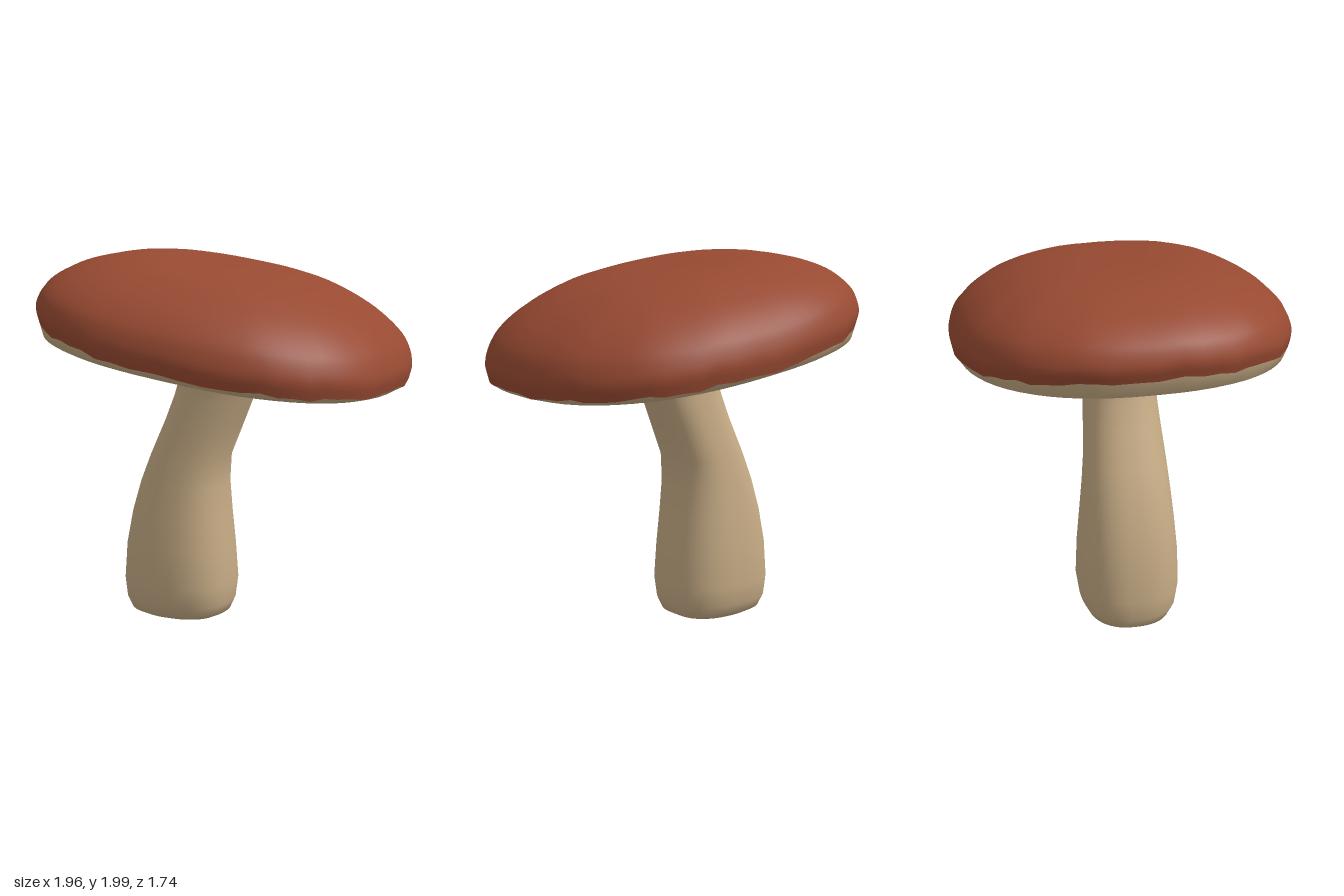
import * as THREE from 'three';

const SEG = 64;

// Smooth skin through rings listed from bottom to top; pointAt(row, angle) gives each vertex
function loft(rows, pointAt) {
  const pos = [], index = [];
  rows.forEach((row, i) => {
    for (let j = 0; j < SEG; j++) {
      pos.push(...pointAt(row, (j / SEG) * Math.PI * 2));
      if (i === rows.length - 1) continue;
      const a = i * SEG + j, b = i * SEG + (j + 1) % SEG;
      index.push(a, a + SEG, b, b, a + SEG, b + SEG);
    }
  });
  const g = new THREE.BufferGeometry();
  g.setAttribute('position', new THREE.Float32BufferAttribute(pos, 3));
  g.setIndex(index);
  g.computeVertexNormals();
  return g;
}

// Rounded-square outline
function outline(t, n) {
  const f = v => Math.sign(v) * Math.abs(v) ** (2 / n);
  return [f(Math.cos(t)), f(Math.sin(t))];
}

// Profile of [scale, height] points, smoothed
function profile(points, count) {
  return new THREE.CatmullRomCurve3(points.map(p => new THREE.Vector3(p[0], p[1], 0))).getPoints(count);
}

const tilt = x => 1.45 - 0.14 * x;

// Height of the ragged colour border above the tilted base plane
function border(t) {
  const x = Math.cos(t);
  return 0.035 + 0.06 * Math.max(0, -x) + 0.006 * Math.sin(t * 13) + 0.005 * Math.sin(t * 29 + 1);
}

function capPoint(s, h, t) {
  const [u, v] = outline(t, 2.4);
  const x = 0.98 * s * u;
  return [x, tilt(x) + h, 0.87 * s * v];
}

export function createModel() {
  const model = new THREE.Group();
  const red = new THREE.MeshStandardMaterial({ color: 0x984a32 });
  red.name = 'cap red';
  const beige = new THREE.MeshStandardMaterial({ color: 0xc6ab85 });
  beige.name = 'stem beige';
  const add = (name, geometry, material) => {
    const mesh = new THREE.Mesh(geometry, material);
    mesh.name = name;
    model.add(mesh);
  };

  // Tilted dome of the cap
  const dome = profile([[0.985, 0], [1, 0.08], [0.985, 0.15], [0.95, 0.22], [0.86, 0.31],
    [0.73, 0.39], [0.55, 0.46], [0.3, 0.5], [0.001, 0.505]], 28);
  add('capDome', loft(dome, (p, t) => {
    const b = border(t);
    return capPoint(p.x, b + p.y * (0.5 - b) / 0.5, t);
  }), red);

  // Underside and pale rim
  const under = profile([[0.001, 0], [0.4, -0.005], [0.75, -0.012], [0.87, -0.01], [0.94, 0.01], [0.985, 1]], 5);
  under.splice(0, under.length, ...[[0.001, 0], [0.4, -0.005], [0.75, -0.012], [0.87, -0.01],
    [0.93, 0.004], [0.965, 0.018]].map(p => new THREE.Vector3(p[0], p[1], 0)), new THREE.Vector3(0.985, 0, 1));
  add('capUnderside', loft(under, (p, t) => capPoint(p.x, p.z ? border(t) : p.y, t)), beige);

  // Bent stem: height, left edge, right edge, half depth, tilt with the cap
  const stem = [
    [0.01, -0.27, -0.26, 0.005, 0], [0.005, -0.48, -0.04, 0.18, 0], [0.03, -0.535, 0.01, 0.225, 0],
    [0.09, -0.56, 0.035, 0.255, 0], [0.2, -0.57, 0.048, 0.272, 0], [0.4, -0.555, 0.033, 0.265, 0],
    [0.58, -0.52, 0.015, 0.249, 0], [0.75, -0.47, 0.002, 0.232, 0], [0.9, -0.412, 0.012, 0.217, 0],
    [1.1, -0.325, 0.095, 0.2, 0], [1.23, -0.27, 0.145, 0.19, 0.05], [1.33, -0.24, 0.185, 0.184, 0.1],
    [1.39, -0.255, 0.21, 0.195, 0.14], [1.43, -0.3, 0.25, 0.235, 0.14], [1.455, -0.4, 0.33, 0.32, 0.14],
  ];
  add('stem', loft(stem, ([y, l, r, d, k], t) => {
    const [u, v] = outline(t, 2.4);
    const x = (l + r) / 2 + u * (r - l) / 2;
    return [x, y - k * x, d * v];
  }), beige);

  return model;
}
